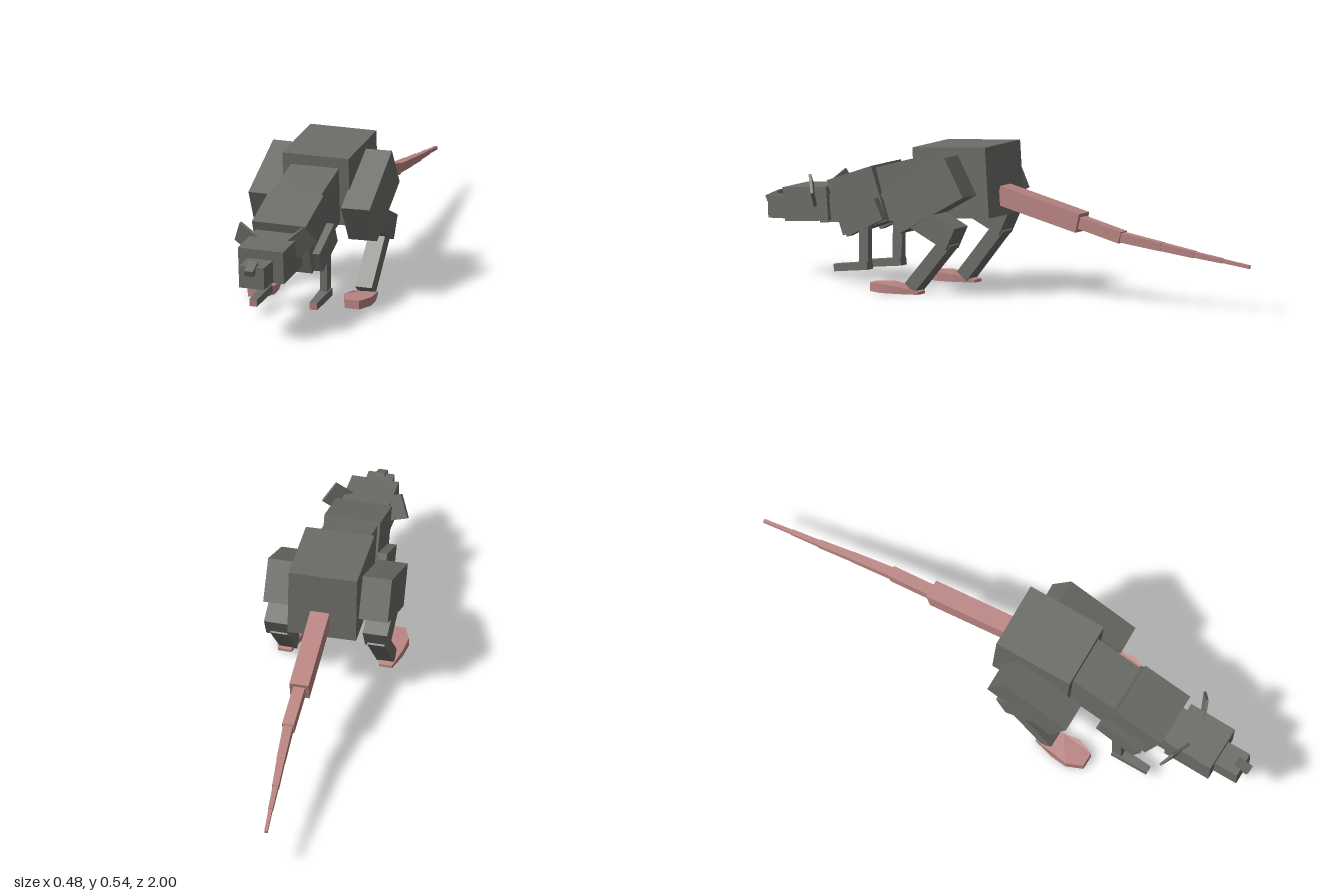
import * as THREE from 'three';

const fur = new THREE.MeshStandardMaterial({ color: 0x6c6d68 });
fur.name = 'grey fur';
const skin = new THREE.MeshStandardMaterial({ color: 0xb98582 });
skin.name = 'pink skin';

// Box whose length runs from point a to point b; taper scales the b end.
function limb(parent, name, mat, a, b, w, h, taperX = 1, taperY = taperX) {
  const start = new THREE.Vector3(...a), end = new THREE.Vector3(...b);
  const z = end.clone().sub(start);
  const length = z.length();
  z.normalize();
  const x = new THREE.Vector3(1, 0, 0).addScaledVector(z, -z.x).normalize();
  const y = new THREE.Vector3().crossVectors(z, x);
  const geo = new THREE.BoxGeometry(w, h, length);
  const p = geo.attributes.position;
  for (let i = 0; i < p.count; i++) {
    if (p.getZ(i) > 0) p.setXY(i, p.getX(i) * taperX, p.getY(i) * taperY);
  }
  geo.computeVertexNormals();
  geo.applyMatrix4(new THREE.Matrix4().makeBasis(x, y, z));
  geo.translate(...start.add(end).multiplyScalar(0.5).toArray());
  const mesh = new THREE.Mesh(geo, mat);
  mesh.name = name;
  parent.add(mesh);
  return mesh;
}

// Thin slanted plate spanned by a corner and its two neighbours.
function ear(parent, name, corner, inner, outer) {
  const c = new THREE.Vector3(...corner);
  const u = new THREE.Vector3(...inner).sub(c);
  const v = new THREE.Vector3(...outer).sub(c);
  const n = new THREE.Vector3().crossVectors(u, v).normalize();
  const geo = new THREE.BoxGeometry(u.length(), v.length(), 0.01);
  const mid = c.clone().addScaledVector(u, 0.5).addScaledVector(v, 0.5);
  const x = u.clone().normalize();
  geo.applyMatrix4(new THREE.Matrix4().makeBasis(x, new THREE.Vector3().crossVectors(n, x), n));
  geo.translate(mid.x, mid.y, mid.z);
  const mesh = new THREE.Mesh(geo, fur);
  mesh.name = name;
  parent.add(mesh);
}

// Eight-sided sole with a top that slopes down to the heel.
function foot(parent, name, x, front) {
  const half = [[0.027, 0], [0.052, -0.06], [0.045, -0.125], [0.024, -0.2]];
  const outline = [...half, ...half.map(([w, z]) => [-w, z]).reverse()];
  const shape = new THREE.Shape(outline.map(([w, z]) => new THREE.Vector2(w, -z)));
  const geo = new THREE.ExtrudeGeometry(shape, { depth: 0.032, bevelEnabled: false });
  geo.rotateX(-Math.PI / 2);
  const p = geo.attributes.position;
  for (let i = 0; i < p.count; i++) {
    if (p.getY(i) > 0.01 && p.getZ(i) < -0.1) p.setY(i, p.getZ(i) < -0.15 ? 0.01 : 0.027);
  }
  // Extruding along +y with -z as shape y keeps the outline pointing forward.
  geo.translate(x, 0.004, front);
  geo.computeVertexNormals();
  const mat = skin;
  const mesh = new THREE.Mesh(geo, mat);
  mesh.name = name;
  parent.add(mesh);
}

export function createModel() {
  const model = new THREE.Group();
  model.name = 'rodent';

  // Trunk
  limb(model, 'hips', fur, [-0.004, 0.413, 0.01], [0.003, 0.393, 0.31], 0.25, 0.255);
  limb(model, 'belly', fur, [0, 0.395, 0.25], [-0.002, 0.335, 0.465], 0.182, 0.2);
  limb(model, 'chest', fur, [0.002, 0.34, 0.47], [0.003, 0.275, 0.655], 0.205, 0.205);

  // Head
  limb(model, 'neck', fur, [0.003, 0.275, 0.6], [0.004, 0.262, 0.74], 0.14, 0.1);
  limb(model, 'head', fur, [0.006, 0.285, 0.695], [0.006, 0.27, 0.877], 0.172, 0.122);
  limb(model, 'snout', fur, [0.004, 0.255, 0.85], [0.004, 0.251, 0.968], 0.095, 0.082);
  limb(model, 'nose', fur, [0.004, 0.297, 0.942], [0.004, 0.273, 0.994], 0.033, 0.024);
  ear(model, 'rightEar', [-0.118, 0.382, 0.75], [-0.03, 0.335, 0.775], [-0.155, 0.308, 0.715]);
  ear(model, 'leftEar', [0.12, 0.39, 0.75], [0.163, 0.328, 0.715], [0.055, 0.335, 0.775]);

  // Legs; s is +1 on the left, with a small stride offset between the sides
  for (const s of [1, -1]) {
    const side = s > 0 ? 'left' : 'right';
    const d = s > 0 ? 0 : 1;
    const leg = new THREE.Group();
    leg.name = side + 'HindLeg';
    limb(leg, 'thigh', fur, [s * (0.168 + 0.014 * d), 0.437 - 0.012 * d, 0.087 - 0.007 * d],
      [s * (0.18 - 0.001 * d), 0.29 + 0.014 * d, 0.347 - 0.008 * d], 0.107, 0.158);
    limb(leg, 'knee', fur, [s * 0.181, 0.215 + 0.012 * d, 0.097],
      [s * 0.18, 0.298 + 0.012 * d, 0.27], 0.09, 0.09);
    limb(leg, 'shank', fur, [s * 0.178, 0.205 + 0.01 * d, 0.122],
      [s * 0.178, 0.025, 0.278], 0.063, 0.05);
    foot(leg, 'hindFoot', s * (0.188 - 0.004 * d), 0.44 - 0.008 * d);

    const arm = new THREE.Group();
    arm.name = side + 'ForeLeg';
    const x = s * (0.117 - 0.005 * d), drop = 0.012 * d;
    limb(arm, 'upperArm', fur, [s * 0.113, 0.288, 0.455], [s * 0.113, 0.216, 0.605], 0.04, 0.082);
    limb(arm, 'forearm', fur, [x, 0.235, 0.518], [x, 0.07 - drop, 0.519], 0.026, 0.038);
    const hand = limb(arm, 'hand', fur, [x, 0.08 - drop, 0.5], [x, 0.063 - drop, 0.643],
      0.04, 0.028, 0.7, 0.95);
    hand.material = [fur, fur, fur, fur, skin, fur]; // pink toe tips
    model.add(leg, arm);
  }

  // Tail of shrinking segments drifting to the right
  const tail = new THREE.Group();
  tail.name = 'tail';
  const path = [[0.003, 0.36, 0.01], [0.002, 0.282, -0.32], [0.003, 0.241, -0.49],
    [-0.008, 0.217, -0.65], [-0.019, 0.197, -0.78], [-0.027, 0.182, -0.89], [-0.036, 0.166, -1]];
  const widths = [0.07, 0.043, 0.035, 0.028, 0.02, 0.014];
  widths.forEach((w, i) => {
    limb(tail, 'tailSegment' + (i + 1), skin, path[i], path[i + 1], w, w, i < 2 ? 1 : 0.85);
  });
  model.add(tail);
  return model;
}
